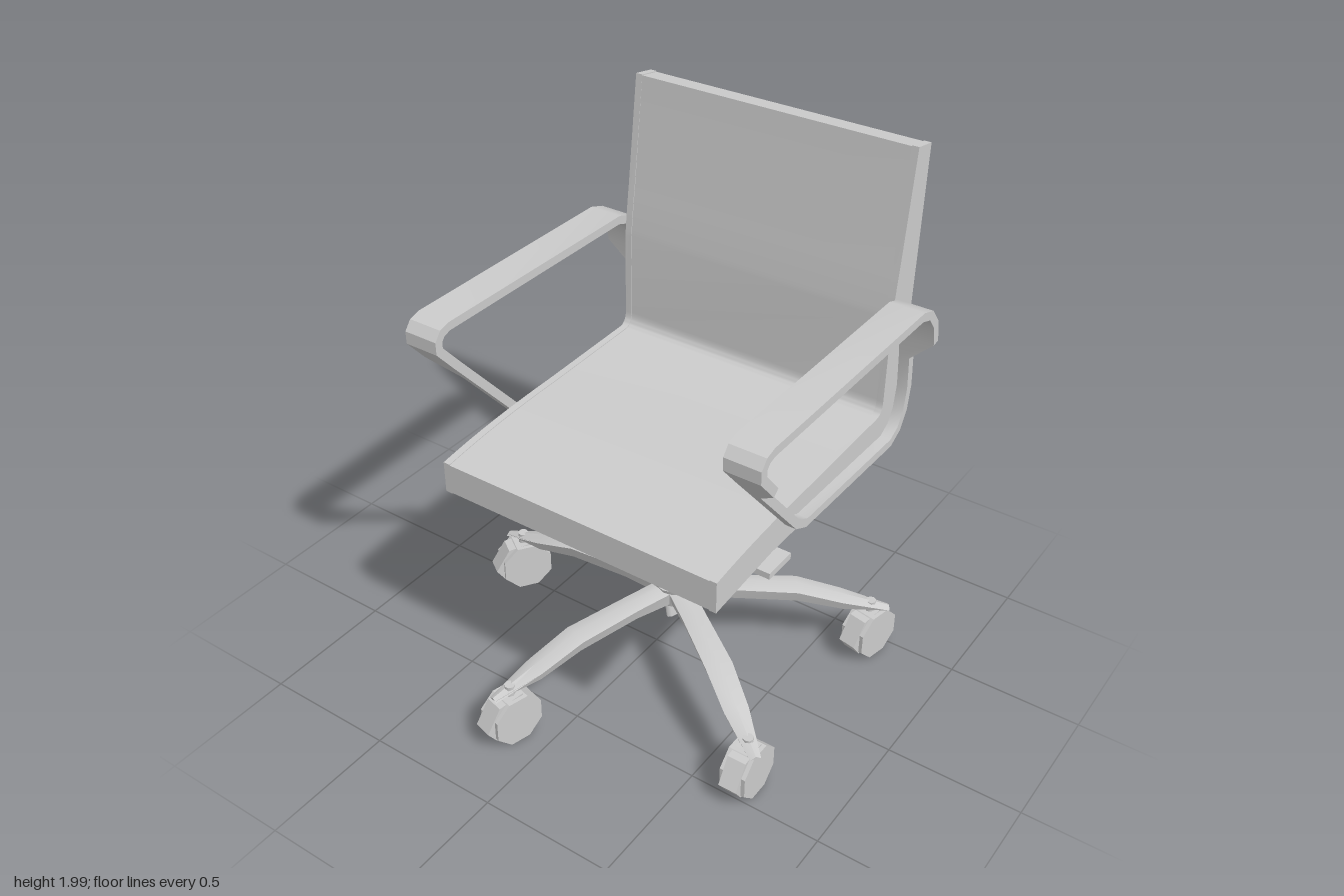
import * as THREE from 'three';
import { toCreasedNormals } from 'three/addons/utils/BufferGeometryUtils.js';

const CX = 0.075; // centre line of the seat
const V = (x, y, z) => new THREE.Vector3(x, y, z);

function createMesh(name, geometry, crease = 0.6) {
  const material = new THREE.MeshStandardMaterial({ color: 0xcccccc, roughness: 0.8 });
  const mesh = new THREE.Mesh(toCreasedNormals(geometry, crease), material);
  mesh.name = name;
  return mesh;
}

// Skins equal-length rings of points, either capped at the ends or joined in a loop
function loft(rings, loop = false) {
  const n = rings[0].length, pos = [], idx = [];
  rings.flat().forEach(p => pos.push(p.x, p.y, p.z));
  const spans = loop ? rings.length : rings.length - 1;
  for (let i = 0; i < spans; i++) {
    const a = i * n, b = ((i + 1) % rings.length) * n;
    for (let j = 0; j < n; j++) {
      const k = (j + 1) % n;
      idx.push(a + j, a + k, b + j, b + j, a + k, b + k);
    }
  }
  if (!loop) {
    const e = (rings.length - 1) * n;
    for (let j = 1; j < n - 1; j++) idx.push(0, j + 1, j, e, e + j, e + j + 1);
  }
  // Turn the faces outward if the enclosed volume is negative
  const p = rings.flat();
  let volume = 0;
  for (let i = 0; i < idx.length; i += 3) {
    volume += p[idx[i]].dot(V(0, 0, 0).crossVectors(p[idx[i + 1]], p[idx[i + 2]]));
  }
  if (volume < 0) idx.reverse();
  const g = new THREE.BufferGeometry();
  g.setAttribute('position', new THREE.Float32BufferAttribute(pos, 3));
  g.setIndex(idx);
  return g;
}

const rect = (x0, x1, y, z0, z1) => [V(x0, y, z0), V(x1, y, z0), V(x1, y, z1), V(x0, y, z1)];

// Cylinder between two points
function rod(name, a, b, ra, rb, sides = 12) {
  const dir = b.clone().sub(a);
  const g = new THREE.CylinderGeometry(rb, ra, dir.length(), sides);
  g.applyQuaternion(new THREE.Quaternion().setFromUnitVectors(V(0, 1, 0), dir.normalize()));
  g.translate((a.x + b.x) / 2, (a.y + b.y) / 2, (a.z + b.z) / 2);
  return createMesh(name, g, 0.8);
}

// Side profile of the one-piece seat and back, extruded across x
function shellGeometry(x0, x1, inset) {
  const s = new THREE.Shape();
  s.moveTo(0.575, 0.865 + inset);
  s.lineTo(0.575, 0.985 - inset);
  s.bezierCurveTo(0.4, 1.01 - inset, 0.2, 1.02 - inset, 0, 1.02 - inset);
  s.lineTo(-0.43 - inset, 1.03 - inset);
  s.quadraticCurveTo(-0.47 - inset, 1.03, -0.472 - inset, 1.08);
  s.lineTo(-0.475 - inset, 1.4);
  s.quadraticCurveTo(-0.485 - inset, 1.5, -0.5 - inset, 1.6);
  s.lineTo(-0.55, 2 - inset);
  s.lineTo(-0.638, 1.985 - inset);
  s.lineTo(-0.605 + inset, 1.12);
  s.bezierCurveTo(-0.6 + inset, 1, -0.57, 0.89 + inset, -0.46, 0.885 + inset);
  s.lineTo(0.25, 0.892 + inset);
  s.closePath();
  const g = new THREE.ExtrudeGeometry(s, { depth: x1 - x0, bevelEnabled: false, curveSegments: 8 });
  g.rotateY(-Math.PI / 2);
  g.translate(x1, 0, 0);
  return g;
}

// Flat strap loop, wide at the armrest and narrow near the seat
function armStrap(side) {
  const path = [
    [0.49, 1.475], [-0.44, 1.475], [-0.5, 1.455], [-0.545, 1.4], [-0.56, 1.32], [-0.575, 1.23],
    [-0.585, 1.1], [-0.57, 1.01], [-0.535, 0.95], [-0.48, 0.92], [0.1, 0.935], [0.16, 0.965],
    [0.393, 1.23], [0.472, 1.32], [0.545, 1.405], [0.545, 1.44], [0.525, 1.465],
  ].map(([z, y]) => new THREE.Vector2(z, y));
  const rings = path.map((p, i) => {
    const a = path[(i + path.length - 1) % path.length], b = path[(i + 1) % path.length];
    const t1 = p.clone().sub(a).normalize(), t2 = b.clone().sub(p).normalize();
    const t = t1.clone().add(t2).normalize();
    const h = 0.016 / Math.max(0.7, t.dot(t1));
    const nz = -t.y * h, ny = t.x * h;
    const w = THREE.MathUtils.clamp((p.y - 1.23) / 0.09, 0, 1) * 0.09 + 0.04;
    const xi = CX + side * 0.55, xo = xi + side * w;
    return [V(xi, p.y + ny, p.x + nz), V(xo, p.y + ny, p.x + nz),
      V(xo, p.y - ny, p.x - nz), V(xi, p.y - ny, p.x - nz)];
  });
  return loft(rings, true);
}

// Arched, tapering leg along +x: [radius, top, bottom, half width]
function legGeometry() {
  return loft([
    [0.03, 0.35, 0.275, 0.045], [0.2, 0.345, 0.285, 0.045], [0.45, 0.33, 0.27, 0.05],
    [0.62, 0.275, 0.225, 0.045], [0.8, 0.215, 0.208, 0.02],
  ].map(([r, top, bottom, w]) => [
    V(r, bottom, -w * 0.7), V(r, top - 0.012, -w), V(r, top, 0), V(r, top - 0.012, w), V(r, bottom, w * 0.7),
  ]));
}

// Octagonal wheel whose axle is x, with a pointed hood and a stem
function caster() {
  const g = new THREE.Group();
  g.name = 'caster';
  const wheel = new THREE.CylinderGeometry(0.102, 0.102, 0.1, 8);
  wheel.rotateZ(Math.PI / 2);
  wheel.rotateX(Math.PI / 8);
  wheel.translate(0, 0.103, 0);
  g.add(createMesh('wheel', wheel, 0.3));
  const hood = loft([[-0.035, 0.8], [0.035, 0.8]].map(([x]) => [
    V(x, 0.05, 0.09), V(x, 0.1, 0.125), V(x, 0.19, 0.07), V(x, 0.205, -0.03), V(x, 0.15, -0.03),
  ]));
  g.add(createMesh('casterHood', hood, 0.3));
  g.add(rod('casterStem', V(0, 0.16, 0), V(0, 0.24, 0), 0.02, 0.02, 8));
  return g;
}

export function createModel() {
  const chair = new THREE.Group();
  chair.name = 'officeChair';

  // Seat and back with side rails
  chair.add(createMesh('seatAndBack', shellGeometry(CX - 0.525, CX + 0.525, 0.003)));
  for (const side of [-1, 1]) {
    const x = CX + side * 0.537;
    chair.add(createMesh('sideRail', shellGeometry(x - 0.013, x + 0.013, 0)));
    chair.add(createMesh('armrest', armStrap(side)));
  }

  // Mounting plate and tilt housing
  chair.add(createMesh('mountingPlate', loft([rect(-0.22, 0.365, 0.862, -0.28, 0.3), rect(-0.22, 0.365, 0.888, -0.28, 0.3)])));
  chair.add(createMesh('tiltHousing', loft([rect(-0.01, 0.155, 0.78, -0.18, 0.17), rect(-0.08, 0.225, 0.865, -0.22, 0.25)])));
  chair.add(rod('tensionKnob', V(0.075, 0.67, 0.338), V(0.075, 0.84, 0.235), 0.058, 0.05, 12));

  // Height lever
  chair.add(createMesh('leverArm', loft([
    [0.15, 0.8, 0.09, 0.11], [0.24, 0.79, 0.085, 0.125], [0.38, 0.747, 0.075, 0.2],
  ].map(([x, y, z0, z1]) => [V(x, y - 0.014, z0), V(x, y + 0.014, z0), V(x, y + 0.014, z1), V(x, y - 0.014, z1)]))));
  chair.add(createMesh('leverPaddle', loft([rect(0.37, 0.6, 0.738, 0.075, 0.21), rect(0.37, 0.6, 0.762, 0.075, 0.21)])));

  // Gas column, flattened across x, with a leaning lower sleeve
  const collar = rod('columnCollar', V(0, 0.72, 0), V(0, 0.79, 0), 0.05, 0.06);
  collar.position.x = CX;
  const piston = rod('columnPiston', V(0, 0.5, 0), V(0, 0.74, 0), 0.036, 0.036);
  piston.scale.x = 0.12;
  piston.position.x = 0.07;
  const sleeve = rod('columnSleeve', V(0, -0.16, 0), V(0, 0.16, 0), 0.06, 0.06);
  sleeve.scale.x = 0.4;
  sleeve.rotation.z = 0.13;
  sleeve.position.set(0.072, 0.372, 0);
  chair.add(collar, piston, sleeve);

  // Five-star base; every caster is swivelled its own way
  const base = new THREE.Group();
  base.name = 'base';
  base.position.x = 0.085;
  base.add(rod('hub', V(0, 0.265, 0), V(0, 0.355, 0), 0.06, 0.085, 10));
  const swivel = [-0.6, -0.26, 0, -0.2, -0.98];
  for (let i = 0; i < 5; i++) {
    const angle = Math.PI - i * Math.PI * 0.4; // from -x round through the front
    const leg = createMesh('leg', legGeometry());
    leg.rotation.y = -angle;
    const wheel = caster();
    wheel.position.set(Math.cos(angle) * 0.73, 0, Math.sin(angle) * 0.73);
    wheel.rotation.y = swivel[i];
    base.add(leg, wheel);
  }
  chair.add(base);
  return chair;
}
